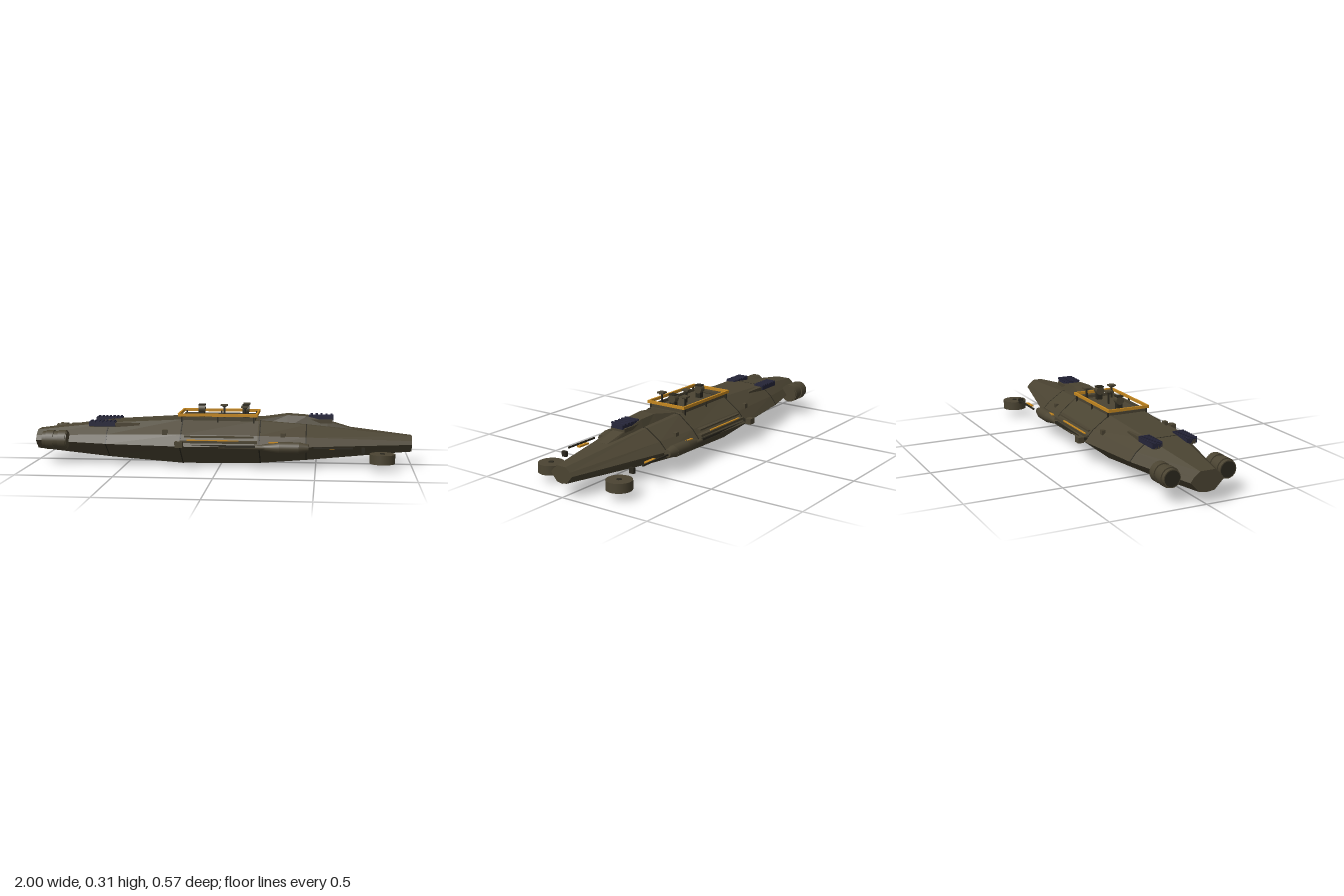
import * as THREE from 'three';

const mat = (name, color) => Object.assign(new THREE.MeshStandardMaterial({ color }), { name });

// Closed, flat-shaded loft along x; each ring is a list of [x, y, z] running from top +z over to -z
function loft(rings) {
  const p = [], n = rings[0].length, last = rings.length - 1;
  for (let i = 0; i < last; i++) {
    for (let j = 0; j < n; j++) {
      const k = (j + 1) % n;
      const a = rings[i][j], b = rings[i + 1][j], c = rings[i + 1][k], d = rings[i][k];
      p.push(...a, ...b, ...c, ...a, ...c, ...d);
    }
  }
  for (let k = 1; k < n - 1; k++) {
    p.push(...rings[0][0], ...rings[0][k], ...rings[0][k + 1]);
    p.push(...rings[last][0], ...rings[last][k + 1], ...rings[last][k]);
  }
  const g = new THREE.BufferGeometry();
  g.setAttribute('position', new THREE.Float32BufferAttribute(p, 3));
  g.computeVertexNormals();
  return g;
}

// Hull stations: x, top y, top half width, widest half width, bottom y, bottom half width
const stations = [
  [-1, 0.165, 0.04, 0.09, 0.065, 0.04],
  [-0.6, 0.215, 0.085, 0.19, 0.03, 0.07],
  [-0.2, 0.238, 0.1, 0.243, 0.006, 0.1],
  [0.2, 0.235, 0.1, 0.23, 0.012, 0.1],
  [0.45, 0.215, 0.075, 0.2, 0.03, 0.085],
  [1, 0.155, 0.025, 0.065, 0.075, 0.03],
];
const WAIST = 0.115;

function stationAt(x) {
  let i = 0;
  while (i < stations.length - 2 && x > stations[i + 1][0]) i++;
  const a = stations[i], b = stations[i + 1], t = (x - a[0]) / (b[0] - a[0]);
  return a.map((v, k) => v + (b[k] - v) * t);
}

function hullRing(x, grow = 1) {
  const [, top, th, wide, bot, bh] = stationAt(x);
  const sy = WAIST + (top - WAIST) * 0.45, sz = th + (wide - th) * 0.66;
  const pts = [[top, th], [top, -th], [sy, -sz], [WAIST, -wide], [bot, -bh],
    [bot - 0.005, 0], [bot, bh], [WAIST, wide], [sy, sz]];
  return pts.map(([y, z]) => [x, WAIST + (y - WAIST) * grow, z * grow]);
}

const trapezoid = (x, y0, y1, w0, w1) => [[x, y1, w1], [x, y1, -w1], [x, y0, -w0], [x, y0, w0]];

export function createModel() {
  const model = new THREE.Group();
  model.name = 'armouredBarge';
  const olive = mat('olive hull', 0x4b4432);
  const dark = mat('dark seam', 0x2b281e);
  const gold = mat('gold trim', 0xc58820);
  const navy = mat('navy grille', 0x26263a);

  const add = (name, geo, m, x = 0, y = 0, z = 0) => {
    const mesh = new THREE.Mesh(geo, m);
    mesh.name = name;
    mesh.position.set(x, y, z);
    model.add(mesh);
    return mesh;
  };
  const box = (name, m, x, y, z, w, h, d) => add(name, new THREE.BoxGeometry(w, h, d), m, x, y, z);
  const tube = (name, m, x, y, z, r, len, sides = 16, r2 = r) =>
    add(name, new THREE.CylinderGeometry(r2, r, len, sides).rotateZ(-Math.PI / 2), m, x, y, z);

  // Hull with thin panel seams
  add('hull', loft(stations.map(s => hullRing(s[0]))), olive);
  for (const x of [-0.6, -0.2, 0.21, 0.45]) {
    add('hullSeam', loft([hullRing(x - 0.003, 1.006), hullRing(x + 0.003, 1.006)]), dark);
  }
  add('keelSeam', loft(stations.map(([x, , , , b]) => trapezoid(x, b - 0.006, b + 0.002, 0.002, 0.002))), dark);

  // Dorsal housing and its grille
  add('dorsalHousing', loft([
    trapezoid(0.2, 0.2, 0.237, 0.08, 0.07),
    trapezoid(0.35, 0.2, 0.261, 0.07, 0.045),
    trapezoid(0.45, 0.19, 0.255, 0.06, 0.04),
    trapezoid(0.56, 0.18, 0.228, 0.05, 0.035),
    trapezoid(0.7, 0.17, 0.188, 0.035, 0.025),
  ]), olive);
  box('dorsalGrille', navy, 0.525, 0.245, 0, 0.13, 0.022, 0.07);
  for (let i = 0; i < 5; i++) box('dorsalLouver', navy, 0.475 + i * 0.026, 0.258, 0, 0.012, 0.008, 0.085);
  box('dorsalCap', olive, 0.525, 0.228, 0, 0.12, 0.02, 0.085);

  // Deck coaming, rail and posts
  for (const s of [-1, 1]) {
    box('coamingSide', olive, -0.015, 0.238, s * 0.1, 0.39, 0.026, 0.008);
    box('coamingEnd', olive, -0.015 + s * 0.193, 0.238, 0, 0.008, 0.026, 0.2);
    box('railSide', gold, -0.015, 0.264, s * 0.113, 0.42, 0.015, 0.01);
    box('railEnd', gold, -0.015 + s * 0.205, 0.264, 0, 0.01, 0.015, 0.236);
    for (const x of [-0.205, -0.015, 0.175]) box('railPost', dark, x, 0.238, s * 0.111, 0.008, 0.046, 0.008);
  }

  // Deck stations: drums with caps, a central pedestal and side pedestals
  const pedestal = (x, z) => {
    box('pedestalStem', dark, x, 0.267, z, 0.01, 0.064, 0.008);
    box('pedestalNeck', dark, x, 0.298, z, 0.02, 0.006, 0.022);
    box('pedestalTop', olive, x, 0.305, z, 0.036, 0.008, 0.038);
  };
  for (const x of [-0.11, 0.125]) {
    tube('deckDrum', olive, x, 0.285, 0, 0.023, 0.034, 12);
    box('drumCap', dark, x, 0.306, 0, 0.036, 0.006, 0.038);
    box('drumBase', dark, x, 0.25, 0, 0.026, 0.034, 0.03);
  }
  pedestal(0.01, 0);
  for (const s of [-1, 1]) pedestal(0.125, s * 0.075);

  for (const s of [-1, 1]) {
    // Stern grilles on their housings
    box('grilleHousing', olive, -0.565, 0.205, s * 0.095, 0.27, 0.022, 0.042);
    box('sternGrille', navy, -0.63, 0.21, s * 0.095, 0.14, 0.024, 0.055);
    for (let i = 0; i < 7; i++) box('sternLouver', navy, -0.69 + i * 0.02, 0.223, s * 0.095, 0.009, 0.008, 0.06);

    // Stern engines
    tube('engineBody', olive, -0.875, 0.128, s * 0.15, 0.045, 0.13, 20);
    for (const x of [-0.9, -0.835]) tube('engineBand', olive, x, 0.128, s * 0.15, 0.051, 0.04, 20);
    tube('engineNozzle', dark, -0.925, 0.128, s * 0.15, 0.04, 0.032, 20);

    // Side shelf with gold trim
    box('sideShelf', olive, 0.0, 0.138, s * 0.214, 0.4, 0.012, 0.034);
    box('shelfTrim', gold, -0.03, 0.146, s * 0.222, 0.27, 0.005, 0.01);
    box('sideSill', olive, 0.0, 0.162, s * 0.196, 0.36, 0.008, 0.034);
    box('sideChannel', dark, 0.0, 0.118, s * 0.229, 0.38, 0.012, 0.012);

    // Side pod and feed pipe
    const pod = tube('podBody', olive, 0.365, 0.112, s * 0.215, 0.031, 0.1, 12);
    pod.rotation.y = 0;
    tube('podNose', olive, 0.44, 0.112, s * 0.213, 0.031, 0.05, 12, 0.02);
    tube('podTail', olive, 0.27, 0.112, s * 0.215, 0.016, 0.09, 12, 0.031);
    tube('feedPipe', olive, 0.12, 0.112, s * 0.222, 0.012, 0.24, 10);
    box('podTrim', gold, 0.29, 0.138, s * 0.215, 0.06, 0.006, 0.012);

    // Side lamps and deck-edge blocks
    box('lampBlock', olive, -0.2, 0.13, s * 0.27, 0.04, 0.03, 0.032);
    box('lampArm', dark, -0.2, 0.13, s * 0.243, 0.014, 0.012, 0.03);
    box('edgeBlock', olive, -0.285, 0.18, s * 0.18, 0.025, 0.025, 0.02);
    box('edgeBlock', olive, 0.33, 0.17, s * 0.165, 0.025, 0.02, 0.02);

    // Bow rods, gold plates and free-standing drums
    box('bowRod', dark, 0.59, 0.118, s * 0.235, 0.2, 0.008, 0.008);
    box('bowPlate', gold, 0.605, 0.114, s * 0.213, 0.07, 0.008, 0.018);
    box('bowCoupler', dark, 0.742, 0.105, s * 0.213, 0.016, 0.028, 0.026);
    add('bowDrum', new THREE.CylinderGeometry(0.065, 0.065, 0.048, 28), olive, 0.84, 0.065, s * 0.214);
    add('drumHub', new THREE.CylinderGeometry(0.013, 0.013, 0.056, 12), dark, 0.84, 0.064, s * 0.214);
  }
  return model;
}
